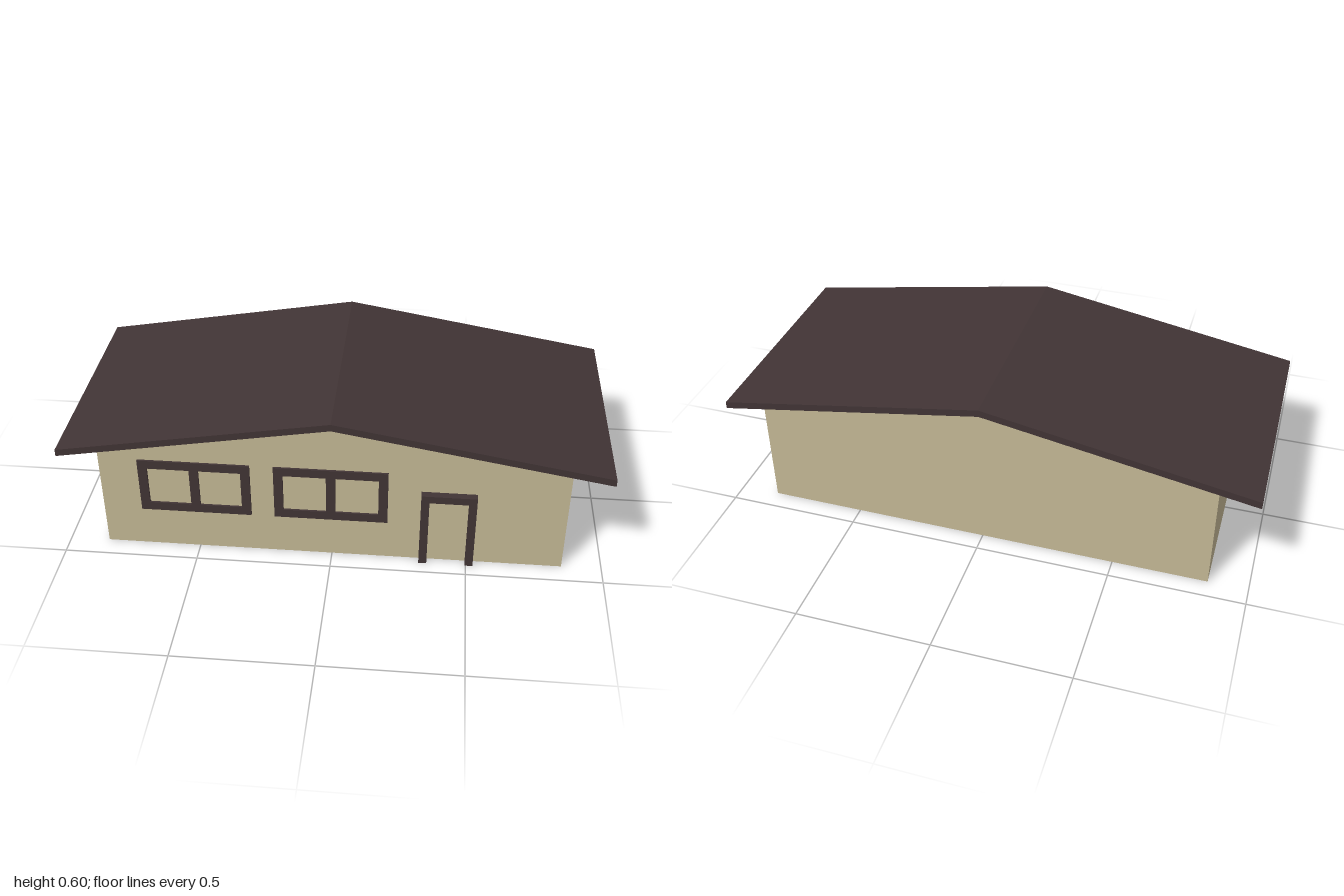
import * as THREE from 'three';

const wallMaterial = new THREE.MeshStandardMaterial({ color: 0xc4b895 });
wallMaterial.name = 'sand wall';
const trimMaterial = new THREE.MeshStandardMaterial({ color: 0x413435 });
trimMaterial.name = 'dark brown trim';

const FRONT = 0.423, BACK = -0.427;

// Extrude an outline in x,y from z0 to z1, with optional holes
function slab(name, material, points, z0, z1, holes = []) {
  const toVectors = (list) => list.map(([x, y]) => new THREE.Vector2(x, y));
  const shape = new THREE.Shape(toVectors(points));
  holes.forEach((hole) => shape.holes.push(new THREE.Path(toVectors(hole))));
  const geometry = new THREE.ExtrudeGeometry(shape, { depth: z1 - z0, bevelEnabled: false });
  geometry.translate(0, 0, z0);
  const mesh = new THREE.Mesh(geometry, material);
  mesh.name = name;
  return mesh;
}

const rect = (x0, y0, x1, y1) => [[x0, y0], [x1, y0], [x1, y1], [x0, y1]];

export function createModel() {
  const house = new THREE.Group();
  house.name = 'house';

  // Gabled walls reaching the underside of the roof
  const ridge = 0.572, eave = 0.4, half = 0.853;
  const wallTop = ridge - (ridge - eave) * half;
  house.add(slab('walls', wallMaterial,
    [[-half, 0], [half, 0], [half, wallTop], [0, ridge], [-half, wallTop]], BACK, FRONT));

  // Shallow pitched roof with wide side eaves
  house.add(slab('roof', trimMaterial,
    [[-1, eave], [0, ridge], [1, eave], [1, 0.427], [0, 0.599], [-1, 0.427]], -0.449, 0.446));

  // Two-pane window frames
  [['rightWindowFrame', -0.708, -0.297], ['leftWindowFrame', -0.211, 0.205]].forEach(([name, x0, x1]) => {
    const mid = (x0 + x1) / 2;
    house.add(slab(name, trimMaterial, rect(x0, 0.166, x1, 0.388), FRONT, 0.431, [
      rect(x0 + 0.034, 0.2, mid - 0.017, 0.354),
      rect(mid + 0.017, 0.2, x1 - 0.034, 0.354),
    ]));
  });

  // Door surround, open at the bottom
  house.add(slab('doorFrame', trimMaterial, [
    [0.325, 0], [0.355, 0], [0.355, 0.284], [0.497, 0.284],
    [0.497, 0], [0.526, 0], [0.526, 0.313], [0.325, 0.313],
  ], FRONT, 0.451));

  return house;
}
